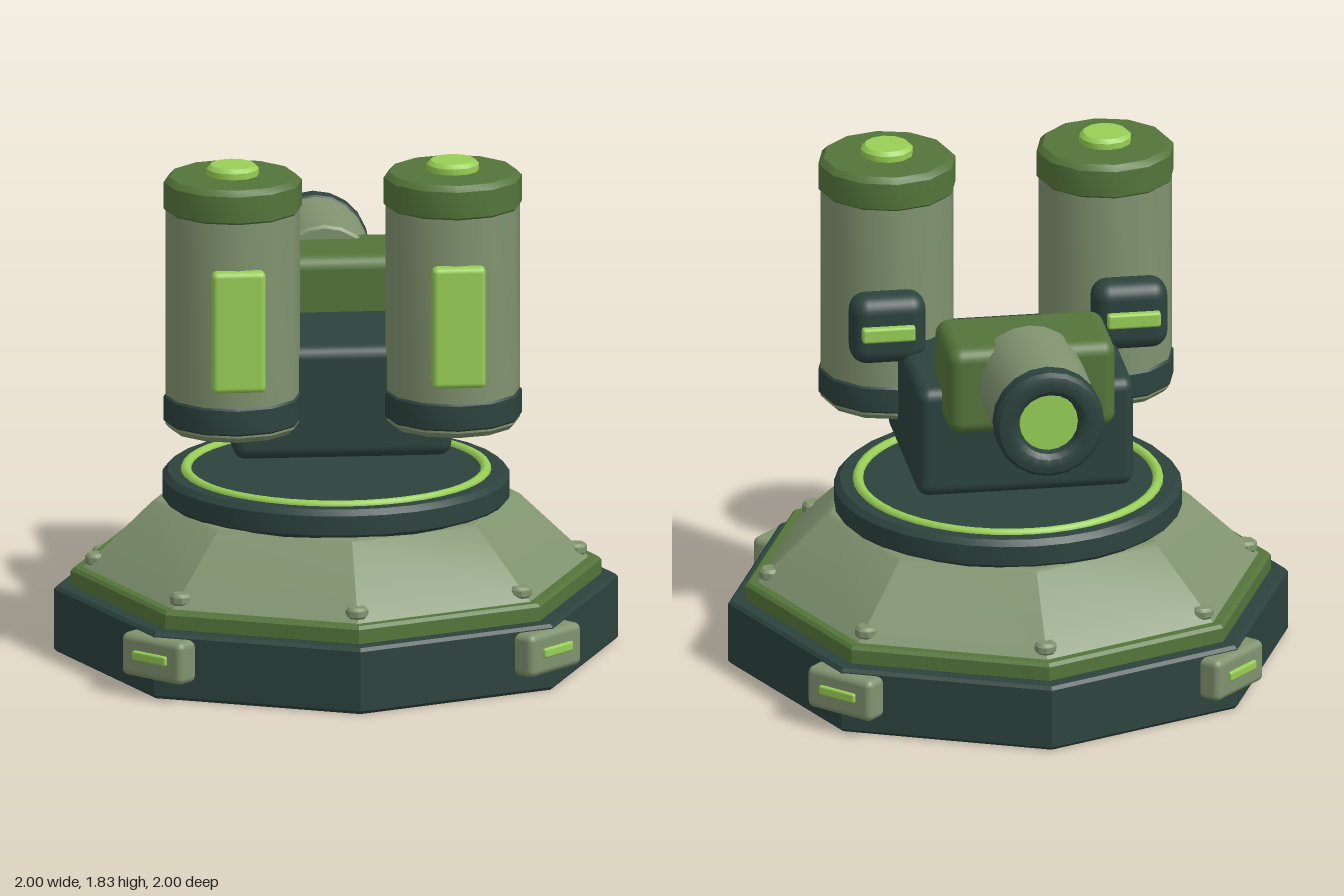
import * as THREE from 'three';
import { toCreasedNormals } from 'three/addons/utils/BufferGeometryUtils.js';
import { RoundedBoxGeometry } from 'three/addons/geometries/RoundedBoxGeometry.js';

const material = (name, color) => Object.assign(new THREE.MeshStandardMaterial({ color }), { name });
const dark = material('dark teal', 0x2d433e);
const olive = material('olive green', 0x54753a);
const sage = material('sage green', 0x80936f);
const lime = material('lime', 0x98cf56);

export function createModel() {
  const root = new THREE.Group();
  root.name = 'turret';

  const add = (parent, name, geometry, mat, x = 0, y = 0, z = 0) => {
    const mesh = new THREE.Mesh(geometry, mat);
    mesh.name = name;
    mesh.position.set(x, y, z);
    parent.add(mesh);
    return mesh;
  };
  const group = (name, x = 0, y = 0, z = 0) => {
    const g = new THREE.Group();
    g.name = name;
    g.position.set(x, y, z);
    root.add(g);
    return g;
  };
  // Revolved profile, listed from bottom to top as [radius, height]
  const turned = (profile, sides, crease = 0.6) => toCreasedNormals(
    new THREE.LatheGeometry(profile.map(([r, y]) => new THREE.Vector2(r, y)), sides), crease);
  // Closed drum with small bevels
  const drum = (r, y0, y1, b, sides, crease) => turned(
    [[0, y0], [r - b, y0], [r, y0 + b], [r, y1 - b], [r - b, y1], [0, y1]], sides, crease);
  const box = (w, h, d, r, seg = 3) => new RoundedBoxGeometry(w, h, d, seg, r);

  // Octagonal base
  const base = group('base');
  add(base, 'basePlate', drum(1, 0, 0.24, 0.012, 8, 0.4), dark);
  add(base, 'baseTrim', drum(0.94, 0.23, 0.305, 0.012, 8, 0.4), olive);
  add(base, 'slopedArmor', turned([[0, 0.29], [0.9, 0.29], [0.895, 0.305], [0.65, 0.54], [0.635, 0.546], [0, 0.546]], 8, 0.4), sage);
  add(base, 'turntable', drum(0.615, 0.535, 0.645, 0.02, 32), dark);
  add(base, 'glowRing', new THREE.TorusGeometry(0.53, 0.02, 8, 48).rotateX(Math.PI / 2), lime, 0, 0.642, 0);

  // Bolts on the armour ridges
  for (let i = 0; i < 8; i++) {
    const a = i * Math.PI / 4;
    const bolt = add(base, 'bolt', turned([[0, 0.308], [0.026, 0.308], [0.04, 0.324], [0.04, 0.345], [0.03, 0.356], [0, 0.356]], 8),
      sage, Math.sin(a) * 0.85, 0, Math.cos(a) * 0.85);
    bolt.rotation.y = a;
  }

  // Corner clamps with marker lights
  for (let i = 0; i < 4; i++) {
    const a = Math.PI / 4 + i * Math.PI / 2;
    const clamp = group('cornerClamp', Math.sin(a) * 0.95, 0.147, Math.cos(a) * 0.95);
    clamp.rotation.y = a;
    add(clamp, 'clampBlock', box(0.28, 0.155, 0.14, 0.025), sage);
    add(clamp, 'clampLight', box(0.155, 0.035, 0.024, 0.008, 2), lime, 0, 0.005, 0.07);
  }

  // Main body
  add(root, 'body', box(0.775, 0.41, 0.705, 0.045), dark, 0, 0.955, -0.065);

  // Twin canisters and rear side pods
  for (const s of [1, -1]) {
    const can = group(s > 0 ? 'leftCanister' : 'rightCanister', s * 0.39, 0, 0.272);
    add(can, 'canisterBody', drum(0.238, 0.87, 1.75, 0.02, 12), sage);
    add(can, 'canisterCollar', drum(0.245, 0.885, 1.01, 0.02, 12), dark);
    add(can, 'canisterCap', drum(0.245, 1.655, 1.79, 0.02, 12), olive);
    add(can, 'capButton', drum(0.093, 1.78, 1.83, 0.014, 12), lime);
    add(can, 'frontPanel', box(0.19, 0.44, 0.06, 0.02), lime, 0, 1.28, 0.238);

    const pod = group(s > 0 ? 'leftPod' : 'rightPod', s * 0.432, 1.247, 0);
    add(pod, 'podShell', box(0.27, 0.255, 0.14, 0.06, 4), dark);
    add(pod, 'podLight', box(0.19, 0.055, 0.04, 0.01, 2), lime, s * 0.006, 0, -0.075);
  }

  // Rear head with barrel and lens
  const head = group('rearHead', 0, 1.22, 0);
  add(head, 'headBlock', box(0.6, 0.325, 0.35, 0.05), olive, 0, -0.022, -0.388);
  const along = (profile, sides) => turned(profile, sides).rotateX(-Math.PI / 2);
  add(head, 'barrel', along([[0, 0.465], [0.18, 0.465], [0.19, 0.475], [0.19, 0.9], [0, 0.9]], 20), sage);
  add(head, 'muzzleRing', along([[0.17, 0.873], [0.185, 0.875], [0.196, 0.887], [0.196, 0.945],
    [0.183, 0.962], [0.16, 0.968], [0.13, 0.965], [0.112, 0.95], [0.105, 0.915], [0, 0.915]], 20), dark);
  add(head, 'lens', along([[0, 0.9], [0.104, 0.9], [0.104, 0.928], [0, 0.928]], 20), lime);

  return root;
}
